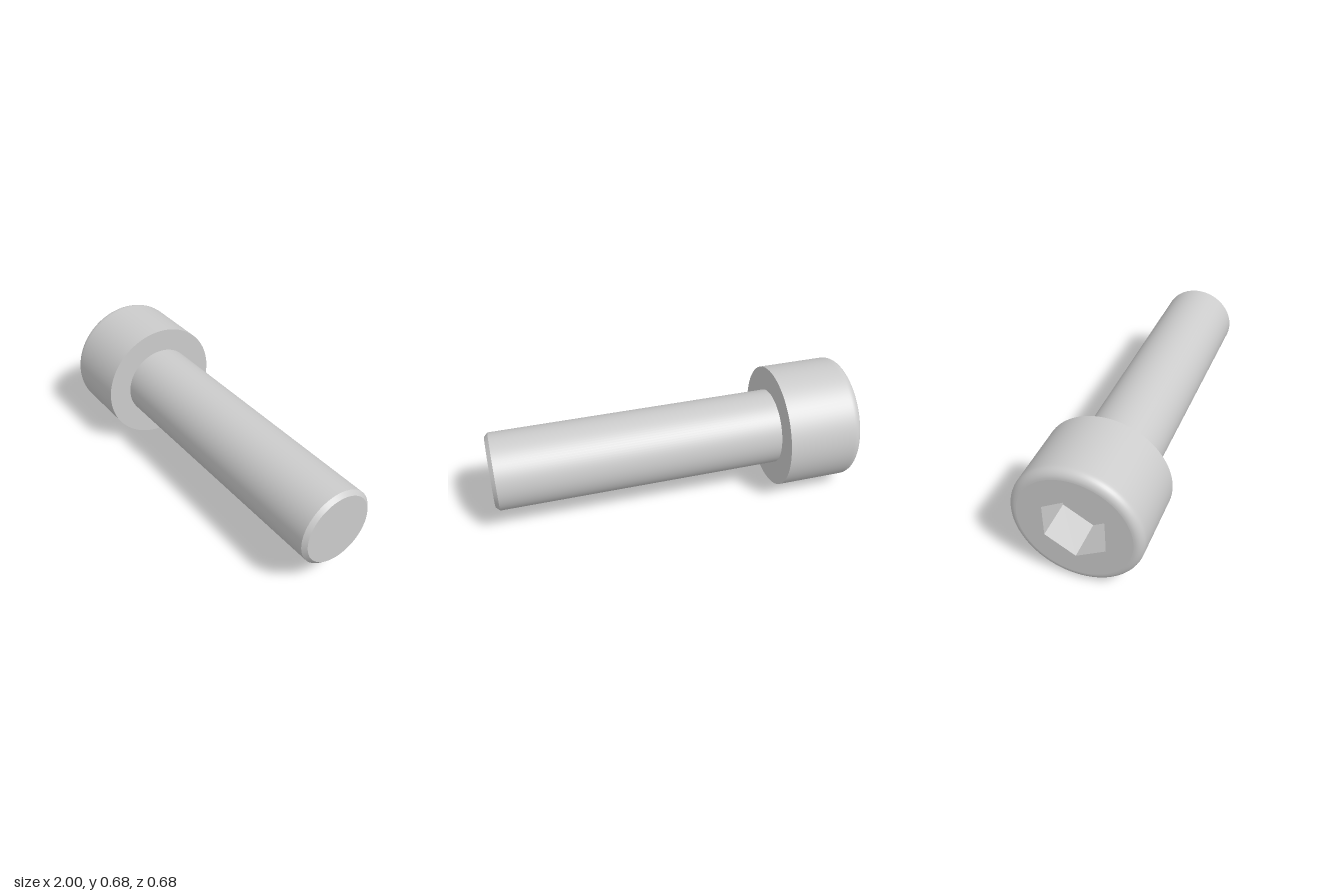
import * as THREE from 'three';

const SEGMENTS = 96;
const HEAD_R = 0.342, SHANK_R = 0.2105, HEX_R = 0.182;
const HEAD_END = -0.58, SOCKET_FLOOR = -0.79;
const FILLET = 0.046, CHAMFER = 0.021;

const grey = new THREE.MeshStandardMaterial({ color: 0xcccccc });
const socketGrey = new THREE.MeshStandardMaterial({ color: 0xcccccc, flatShading: true, side: THREE.DoubleSide });

// Surface of revolution about the x axis; points are [radius, x], running towards +x
function turned(name, points) {
  const geometry = new THREE.LatheGeometry(points.map(([r, x]) => new THREE.Vector2(r, x)), SEGMENTS);
  geometry.rotateZ(-Math.PI / 2);
  const mesh = new THREE.Mesh(geometry, grey);
  mesh.name = name;
  return mesh;
}

// Flat shape placed at x and facing -x
function facing(name, shape, x) {
  const geometry = new THREE.ShapeGeometry(shape, SEGMENTS);
  geometry.rotateY(-Math.PI / 2).translate(x, 0, 0);
  const mesh = new THREE.Mesh(geometry, grey);
  mesh.name = name;
  return mesh;
}

// Hexagon with corners at top and bottom
function hexPoints() {
  return Array.from({ length: 6 }, (_, i) => {
    const a = Math.PI / 2 + i * Math.PI / 3;
    return new THREE.Vector2(HEX_R * Math.cos(a), HEX_R * Math.sin(a));
  });
}

function createHead() {
  const head = new THREE.Group();
  head.name = 'head';

  // Rounded rim running into the cylindrical side
  const side = [];
  for (let i = 0; i <= 8; i++) {
    const a = (i / 8) * Math.PI / 2;
    side.push([HEAD_R - FILLET * (1 - Math.sin(a)), -1 + FILLET * (1 - Math.cos(a))]);
  }
  side.push([HEAD_R, -0.94], [HEAD_R, HEAD_END]);
  head.add(turned('headSide', side));
  head.add(turned('headUnderside', [[HEAD_R, HEAD_END], [SHANK_R, HEAD_END]]));

  // End face with the hexagonal opening
  const face = new THREE.Shape().absarc(0, 0, HEAD_R - FILLET, 0, Math.PI * 2, false);
  face.holes.push(new THREE.Path(hexPoints()));
  head.add(facing('headFace', face, -1));

  // Socket walls and floor
  const depth = SOCKET_FLOOR + 1;
  const walls = new THREE.CylinderGeometry(HEX_R, HEX_R, depth, 6, 1, true, Math.PI / 6);
  walls.rotateZ(-Math.PI / 2).translate(-1 + depth / 2, 0, 0);
  const socket = new THREE.Mesh(walls, socketGrey);
  socket.name = 'socketWalls';
  head.add(socket, facing('socketFloor', new THREE.Shape(hexPoints()), SOCKET_FLOOR));
  return head;
}

function createShank() {
  const shank = new THREE.Group();
  shank.name = 'shank';
  const tipR = SHANK_R - CHAMFER;
  shank.add(
    turned('shankSide', [[SHANK_R, HEAD_END], [SHANK_R, 1 - CHAMFER]]),
    turned('tipChamfer', [[SHANK_R, 1 - CHAMFER], [tipR, 1]]),
    turned('tipFace', [[tipR, 1], [0, 1]])
  );
  return shank;
}

export function createModel() {
  const model = new THREE.Group();
  model.name = 'socketHeadScrew';
  model.add(createHead(), createShank());
  // Lying on its side, resting on the head
  model.children.forEach((part) => { part.position.y = HEAD_R; });
  return model;
}
